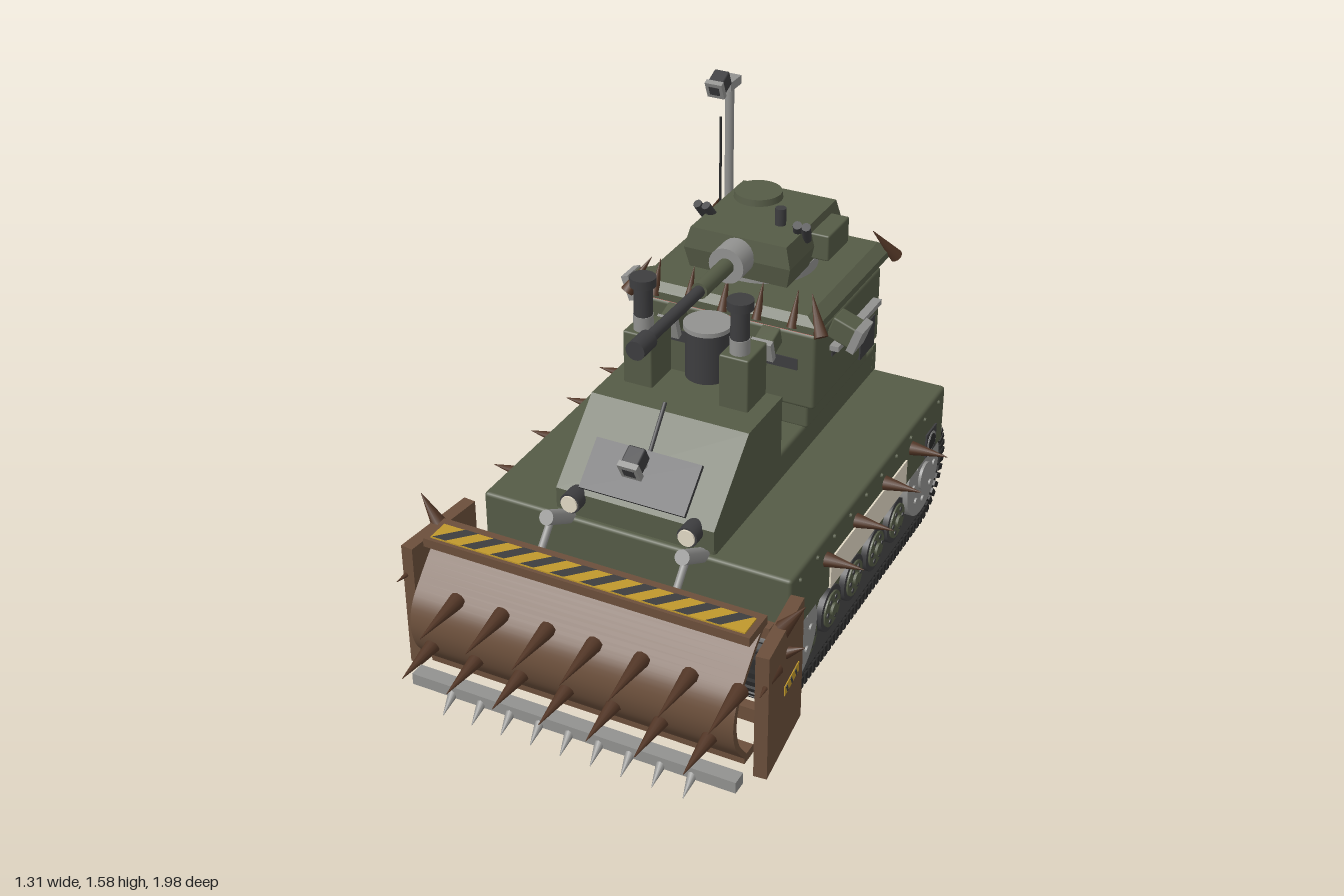
import * as THREE from 'three';
import { toCreasedNormals } from 'three/addons/utils/BufferGeometryUtils.js';
import { RoundedBoxGeometry } from 'three/addons/geometries/RoundedBoxGeometry.js';

const V = (x, y, z) => new THREE.Vector3(x, y, z);
const mat = (name, color) => new THREE.MeshStandardMaterial({ name, color });

export function createModel() {
  const green = mat('armour green', 0x555b46), dark = mat('dark metal', 0x3d3d3f), black = mat('track black', 0x2a2a2a),
    grey = mat('bare steel', 0x929290), brown = mat('rusty plate', 0x6b4f3b), rust = mat('spike rust', 0x523626),
    cream = mat('cream', 0xe2d9c5), red = mat('red band', 0xd4736e), yellow = mat('hazard yellow', 0xc0982c);
  const root = new THREE.Group();
  root.name = 'armouredPlowVehicle';
  let parent = root;

  const add = (name, geo, m) => {
    const mesh = new THREE.Mesh(geo, m);
    mesh.name = name;
    parent.add(mesh);
    return mesh;
  };
  const inGroup = (name, fn) => {
    const outer = parent, g = new THREE.Group();
    g.name = name;
    outer.add(g);
    parent = g;
    fn(g);
    parent = outer;
    return g;
  };
  // box by size and centre, optionally bevelled
  const box = (name, m, w, h, d, x, y, z, bevel = 0) => {
    const mesh = add(name, bevel ? new RoundedBoxGeometry(w, h, d, 2, bevel) : new THREE.BoxGeometry(w, h, d), m);
    mesh.position.set(x, y, z);
    return mesh;
  };
  // cylinder or cone between two points
  const rod = (name, m, a, b, r0, r1 = r0, seg = 20) => {
    const mesh = add(name, new THREE.CylinderGeometry(r1, r0, a.distanceTo(b), seg), m);
    mesh.position.copy(a).lerp(b, 0.5);
    mesh.quaternion.setFromUnitVectors(V(0, 1, 0), b.clone().sub(a).normalize());
    return mesh;
  };
  const spike = (name, a, b, r = 0.025, m = rust) => rod(name, m, a, b, r, 0.001, 10);
  // profile in (z, y) pulled along x
  const profile = (name, m, pts, width) => {
    const geo = new THREE.ExtrudeGeometry(new THREE.Shape(pts.map(p => new THREE.Vector2(...p))), { depth: width, bevelEnabled: false });
    geo.rotateY(-Math.PI / 2).translate(width / 2, 0, 0);
    return add(name, toCreasedNormals(geo, 0.5), m);
  };
  const both = fn => [-1, 1].forEach(fn);

  // ---- hull
  box('hullFenders', green, 1.06, 0.215, 1.27, 0, 0.403, -0.225, 0.012);
  box('belly', green, 0.5, 0.3, 1.16, 0, 0.27, -0.22);
  box('deck', green, 0.54, 0.11, 1.23, 0, 0.55, -0.225, 0.012);
  box('rearDeckPlate', green, 0.54, 0.1, 0.03, 0, 0.56, -0.845);
  both(s => {
    box('sidePanel', cream, 0.008, 0.11, 0.63, s * 0.532, 0.355, -0.195);
    box('sideVent', dark, 0.008, 0.09, 0.09, s * 0.532, 0.36, -0.735);
    rod('ventFan', grey, V(s * 0.53, 0.36, -0.735), V(s * 0.538, 0.36, -0.735), 0.036);
    rod('ventFanCore', black, V(s * 0.53, 0.36, -0.735), V(s * 0.54, 0.36, -0.735), 0.028);
    for (const z of [0.15, -0.085, -0.325, -0.56]) spike('sideSpike', V(s * 0.53, 0.428, z), V(s * 0.655, 0.428, z));
    for (let i = 0; i < 10; i++) rod('rivet', green, V(s * 0.525, 0.48, 0.35 - i * 0.127), V(s * 0.537, 0.48, 0.35 - i * 0.127), 0.01, 0.006, 8);
  });

  // ---- running gear
  const zF = 0.3, zR = -0.756, yC = 0.195, R = 0.174;
  const stadium = (path, r) => {
    path.absarc(zF, yC, r, -Math.PI / 2, Math.PI / 2, false);
    path.absarc(zR, yC, r, Math.PI / 2, Math.PI * 1.5, false);
    path.closePath();
    return path;
  };
  both(s => inGroup(s > 0 ? 'leftTrack' : 'rightTrack', () => {
    const x = s * 0.385, shape = stadium(new THREE.Shape(), R);
    shape.holes.push(stadium(new THREE.Path(), R - 0.022));
    const belt = new THREE.ExtrudeGeometry(shape, { depth: 0.24, bevelEnabled: false, curveSegments: 24 });
    add('trackBelt', toCreasedNormals(belt.rotateY(-Math.PI / 2).translate(x + 0.12, 0, 0), 0.5), black);
    // track pads along the loop
    const run = zF - zR, arc = Math.PI * R, total = 2 * (run + arc), n = 104;
    for (let i = 0; i < n; i++) {
      let t = (i / n) * total, z, y, a;
      const back = t >= run + arc;
      if (back) t -= run + arc;
      if (t < run) { z = zR + t; y = yC - R; a = 0; }
      else { a = (t - run) / R; z = zF + R * Math.sin(a); y = yC - R * Math.cos(a); }
      if (back) { z = zF + zR - z; y = 2 * yC - y; a += Math.PI; }
      box('trackPad', black, 0.255, 0.04, 0.019, x, y, z).rotation.x = -a;
    }
    const disc = (name, m, r, z, y, x0, x1, seg = 28) => rod(name, m, V(s * x0, y, z), V(s * x1, y, z), r, r, seg);
    // idler and drive wheels with bolts
    for (const z of [zF, zR]) {
      disc('endWheel', grey, 0.147, z, 0.2, 0.28, 0.508, 36);
      disc('endWheelHub', grey, 0.05, z, 0.2, 0.5, 0.518);
      for (let k = 0; k < 8; k++) {
        const a = k * Math.PI / 4;
        disc('wheelBolt', grey, 0.012, z + 0.095 * Math.cos(a), 0.2 + 0.095 * Math.sin(a), 0.49, 0.515, 8);
      }
    }
    // road wheels
    for (let i = 0; i < 5; i++) {
      const z = 0.18 - i * 0.185;
      disc('roadWheelTyre', dark, 0.08, z, 0.125, 0.29, 0.49);
      disc('roadWheelDisc', green, 0.062, z, 0.125, 0.3, 0.496);
      disc('roadWheelHub', green, 0.022, z, 0.125, 0.49, 0.505, 12);
      for (let k = 0; k < 6; k++) {
        const a = k * Math.PI / 3;
        disc('roadWheelHole', dark, 0.009, z + 0.042 * Math.cos(a), 0.125 + 0.042 * Math.sin(a), 0.49, 0.499, 8);
      }
      if (i < 4) disc('returnRoller', dark, 0.02, z - 0.09, 0.24, 0.3, 0.478, 14);
    }
    box('suspensionBeam', green, 0.2, 0.2, 0.8, s * 0.37, 0.225, -0.22);
  }));

  // ---- sloped front housing
  profile('frontHousing', green, [[0.4, 0.53], [0.4, 0.6], [0.165, 0.815], [-0.075, 0.815], [-0.075, 0.53]], 0.54);
  const screen = box('slopePanel', dark, 0.36, 0.165, 0.015, 0, 0.69, 0.352);
  screen.rotation.x = -0.82;
  both(s => {
    rod('headlightShell', dark, V(s * 0.2, 0.585, 0.38), V(s * 0.2, 0.585, 0.44), 0.034);
    rod('headlightLens', cream, V(s * 0.2, 0.585, 0.44), V(s * 0.2, 0.585, 0.447), 0.028);
    // exhaust tower and stack
    box('exhaustTower', green, 0.1, 0.2, 0.135, s * 0.165, 0.895, -0.008, 0.006);
    rod('stackCollar', grey, V(s * 0.165, 0.99, 0.015), V(s * 0.165, 1.045, 0.015), 0.032);
    rod('stackPipe', dark, V(s * 0.165, 1.04, 0.015), V(s * 0.165, 1.15, 0.015), 0.03);
    rod('stackCap', dark, V(s * 0.165, 1.145, 0.015), V(s * 0.165, 1.175, 0.015), 0.042);
  });
  rod('tank', dark, V(0, 0.76, -0.1), V(0, 0.99, -0.1), 0.072, 0.072, 28);
  rod('tankLid', grey, V(0, 0.985, -0.1), V(0, 1.0, -0.1), 0.078, 0.078, 28);
  rod('frontAerial', dark, V(0, 0.72, 0.31), V(0, 0.865, 0.19), 0.007, 0.007, 8);

  // small lamp or camera looking along +z of its group
  const lamp = (name, pos, rx, ry, m, k, glass) => inGroup(name, g => {
    box('lampBody', m, 0.07, 0.07, 0.08, 0, 0, 0, 0.006);
    box('lampFace', grey, 0.08, 0.08, 0.024, 0, 0, 0.045);
    if (glass) box('lens', dark, 0.048, 0.044, 0.006, 0, 0, 0.056);
    g.position.copy(pos);
    g.rotation.set(rx, ry, 0, 'YXZ');
    g.scale.setScalar(k);
  });
  lamp('frontCamera', V(0, 0.768, 0.385), 0.5, 0, dark, 0.82, true);
  rod('frontCameraArm', grey, V(0, 0.7, 0.31), V(0, 0.76, 0.38), 0.012);

  // ---- turret
  box('turretBase', green, 0.56, 0.1, 0.5, 0, 0.65, -0.507, 0.01);
  box('turretBody', green, 0.62, 0.27, 0.535, 0, 0.825, -0.498, 0.012);
  box('redBand', red, 0.59, 0.035, 0.53, 0, 0.97, -0.5);
  const frustum = (name, m, w, h, d, x, y, z, topX, topZ, lowX = 1, lowZ = 1) => {
    const geo = new THREE.BoxGeometry(w, h, d, 1, 2, 1).toNonIndexed(), p = geo.attributes.position;
    for (let i = 0; i < p.count; i++) {
      const v = p.getY(i);
      const sx = v > 0.001 ? topX : v < -0.001 ? lowX : 1, sz = v > 0.001 ? topZ : v < -0.001 ? lowZ : 1;
      p.setXYZ(i, p.getX(i) * sx, v, p.getZ(i) * sz);
    }
    geo.computeVertexNormals();
    add(name, geo, m).position.set(x, y, z);
  };
  frustum('turretRoof', green, 0.64, 0.05, 0.62, 0, 1.005, -0.51, 0.88, 0.92);
  box('frontSlot', dark, 0.5, 0.04, 0.008, 0, 0.845, -0.231);
  both(s => {
    box('sideSlot', dark, 0.008, 0.04, 0.29, s * 0.311, 0.845, -0.505);
    box('sideRail', grey, 0.03, 0.018, 0.36, s * 0.335, 0.878, -0.5);
    box('sideHatch', dark, 0.008, 0.115, 0.12, s * 0.311, 0.745, -0.66);
    lamp('sideLamp', V(s * 0.355, 0.935, -0.365), 0.35, s * Math.PI / 2, green, 1.1, false);
    lamp('frontTurretLamp', V(s * 0.165, 0.93, -0.19), 0.3, 0, green, 0.9, false);
    for (const z of [-0.82, -0.2]) {
      spike('cornerSpike', V(s * 0.34, 0.98, z), V(s * 0.28, 1.09, z + (z < -0.5 ? 0.07 : -0.06)), 0.023);
    }
    for (const x of [0.12, 0.24]) spike('roofSpike', V(s * x, 0.99, -0.2), V(s * x, 1.1, -0.245), 0.017);
  });
  spike('roofSpike', V(0, 0.99, -0.2), V(0, 1.1, -0.245), 0.017);
  lamp('rearLamp', V(0.12, 0.93, -0.79), 0.35, Math.PI, green, 0.9, false);

  // ---- gun house
  rod('turretRing', grey, V(0, 1.02, -0.515), V(0, 1.07, -0.515), 0.175, 0.175, 36);
  frustum('gunHouse', green, 0.37, 0.14, 0.41, 0, 1.13, -0.505, 0.9, 0.95, 0.92, 0.94);
  box('gunHouseBin', green, 0.07, 0.09, 0.165, 0.2, 1.13, -0.57, 0.006);
  rod('hatch', green, V(-0.07, 1.195, -0.61), V(-0.07, 1.222, -0.61), 0.082, 0.078, 32);
  rod('periscope', dark, V(0.08, 1.19, -0.455), V(0.08, 1.257, -0.455), 0.018);
  both(s => {
    for (const d of [0, 0.03]) rod('smokeTube', dark, V(s * (0.145 + d), 1.17, -0.45), V(s * (0.16 + d), 1.235, -0.405), 0.015, 0.015, 12);
  });
  const g = z => V(0, 1.137, z);
  rod('mantlet', grey, g(-0.335), g(-0.225), 0.06, 0.06, 28);
  rod('barrelSleeve', green, g(-0.23), g(-0.04), 0.027);
  rod('barrel', dark, g(-0.05), g(0.31), 0.019);
  rod('muzzle', dark, g(0.295), g(0.375), 0.031);

  // ---- sensor mast and whip aerial
  rod('mastFoot', grey, V(-0.24, 1.02, -0.74), V(-0.24, 1.05, -0.74), 0.035);
  rod('mast', grey, V(-0.24, 1.03, -0.74), V(-0.24, 1.52, -0.74), 0.015);
  box('mastArm', grey, 0.05, 0.03, 0.08, -0.24, 1.52, -0.735);
  lamp('mastCamera', V(-0.24, 1.545, -0.665), 0.4, 0, dark, 0.75, true);
  rod('whipAerial', black, V(-0.272, 1.02, -0.74), V(-0.272, 1.39, -0.74), 0.005, 0.004, 8);

  // ---- plow
  const curve = new THREE.SplineCurve([[0.65, 0.505], [0.7, 0.465], [0.755, 0.41], [0.81, 0.345], [0.83, 0.27],
    [0.815, 0.195], [0.775, 0.135], [0.73, 0.085]].map(p => new THREE.Vector2(...p))).getPoints(28);
  const outer = curve.map(p => [p.x, p.y]), inner = outer.map(([z, y]) => [z - 0.022, y]).reverse();
  profile('plowBlade', brown, [...outer, ...inner], 1.09);
  box('plowTopBar', brown, 1.09, 0.03, 0.12, 0, 0.515, 0.67);
  box('hazardPlate', yellow, 1.05, 0.006, 0.076, 0, 0.532, 0.68);
  for (let i = 0; i < 10; i++) {
    const x = -0.52 + i * 0.102;
    const stripe = new THREE.Shape([[0, -0.038], [0.048, -0.038], [0.12, 0.038], [0.072, 0.038]].map(p => new THREE.Vector2(...p)));
    add('hazardStripe', new THREE.ShapeGeometry(stripe).rotateX(-Math.PI / 2).translate(x, 0.5365, 0.68), dark);
  }
  for (let i = 0; i < 7; i++) {
    const x = -0.4 + i * 0.157;
    spike('bladeSpike', V(x, 0.38, 0.78), V(x, 0.375, 0.985), 0.027);
    spike('bladeSpike', V(x - 0.077, 0.21, 0.8), V(x - 0.077, 0.2, 0.985), 0.027);
  }
  box('cutterBar', grey, 1.11, 0.04, 0.05, 0, 0.06, 0.805);
  for (let i = 0; i < 9; i++) spike('cutterTooth', V(-0.412 + i * 0.103, 0.055, 0.815), V(-0.412 + i * 0.103, 0.008, 0.885), 0.018, grey);
  box('plowCrossbeam', brown, 1.08, 0.04, 0.035, 0, 0.44, 0.565);
  box('plowLowerBeam', brown, 1.08, 0.05, 0.035, 0, 0.12, 0.565);
  box('plowFootBeam', brown, 1.08, 0.03, 0.06, 0, 0.09, 0.71);
  both(s => {
    // flared end plate with hazard mark and horns
    inGroup('plowEndPlate', e => {
      box('endPlate', brown, 0.042, 0.44, 0.31, 0, 0, 0);
      box('endHazard', yellow, 0.006, 0.034, 0.13, s * 0.021, 0, -0.05);
      for (const z of [-0.085, -0.045, -0.005]) box('endHazardStripe', dark, 0.002, 0.032, 0.01, s * 0.0242, 0, z).rotation.x = 0.5;
      spike('endHorn', V(0, 0.2, -0.01), V(s * 0.07, 0.3, -0.01), 0.028);
      spike('endSideSpike', V(0, 0.115, -0.01), V(s * 0.072, 0.155, -0.01), 0.024);
      spike('endFrontSpike', V(s * 0.01, 0.115, 0.06), V(s * 0.01, 0.115, 0.2), 0.022);
      e.position.set(s * 0.579, 0.272, 0.595);
      e.rotation.y = s * 0.1;
    });
    rod('liftCylinder', grey, V(s * 0.23, 0.49, 0.37), V(s * 0.23, 0.58, 0.53), 0.024);
    rod('liftRam', grey, V(s * 0.23, 0.56, 0.5), V(s * 0.23, 0.45, 0.6), 0.012);
    box('pushArm', grey, 0.055, 0.06, 0.36, s * 0.295, 0.15, 0.42);
  });

  // ---- rear beam and ripper shanks
  box('rearBeam', grey, 0.42, 0.065, 0.1, 0, 0.367, -0.907);
  for (const x of [-0.147, 0, 0.147]) {
    box('ripperShank', brown, 0.045, 0.25, 0.055, x, 0.22, -0.925).rotation.x = 0.26;
    spike('ripperTip', V(x, 0.12, -0.955), V(x, 0.015, -0.995), 0.028);
  }
  return root;
}
